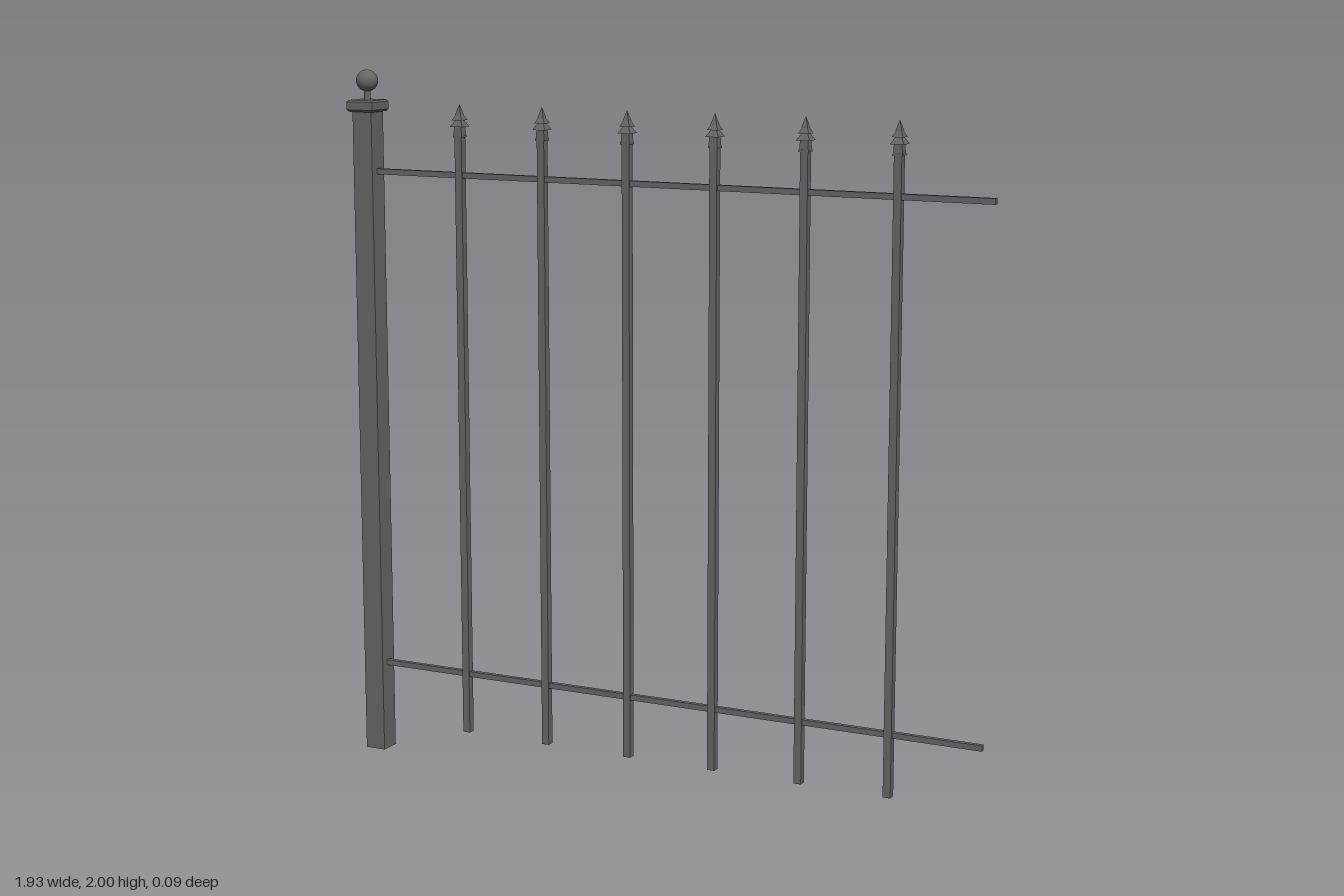
import * as THREE from 'three';

export function createModel() {
  const group = new THREE.Group();
  const smooth = new THREE.MeshStandardMaterial({ color: 0x666666 });
  const flat = new THREE.MeshStandardMaterial({ color: 0x666666, flatShading: true });

  const add = (parent, name, geometry, x, y, material = flat) => {
    const mesh = new THREE.Mesh(geometry, material);
    mesh.name = name;
    mesh.position.set(x, y, 0);
    parent.add(mesh);
  };
  // Square section of given half widths, aligned with the axes
  const taper = (top, bottom, height) =>
    new THREE.CylinderGeometry(top * Math.SQRT2, bottom * Math.SQRT2, height, 4).rotateY(Math.PI / 4);

  // End post with cap and ball
  const post = new THREE.Group();
  post.name = 'endPost';
  post.position.x = -0.921;
  group.add(post);
  add(post, 'postShaft', new THREE.BoxGeometry(0.062, 1.885, 0.062), 0, 0.9425);
  add(post, 'capUnderside', taper(0.043, 0.038, 0.006), 0, 1.885);
  add(post, 'capSlab', new THREE.BoxGeometry(0.086, 0.022, 0.086), 0, 1.899);
  add(post, 'capTop', taper(0.038, 0.043, 0.005), 0, 1.9125);
  add(post, 'ballNeck', new THREE.CylinderGeometry(0.008, 0.01, 0.04, 16), 0, 1.93, smooth);
  add(post, 'ball', new THREE.SphereGeometry(0.031, 24, 16), 0, 1.969, smooth);

  // Horizontal rails
  for (const [name, y] of [['bottomRail', 0.263], ['topRail', 1.713]]) {
    add(group, name, new THREE.BoxGeometry(1.858, 0.016, 0.014), 0.034, y);
  }

  // Pickets with stacked pyramid spear heads
  for (let i = 0; i < 6; i++) {
    const picket = new THREE.Group();
    picket.name = 'picket' + (i + 1);
    picket.position.x = -0.618 + i * 0.263;
    group.add(picket);
    add(picket, 'bar', new THREE.BoxGeometry(0.022, 1.733, 0.022), 0, 0.9535);
    add(picket, 'collar', new THREE.BoxGeometry(0.028, 0.006, 0.028), 0, 1.822);
    add(picket, 'spearNeck', taper(0.011, 0.013, 0.03), 0, 1.838);
    add(picket, 'lowerBarb', taper(0.006, 0.02, 0.022), 0, 1.86);
    add(picket, 'upperBarb', taper(0.004, 0.016, 0.022), 0, 1.878);
    add(picket, 'spearTip', taper(0, 0.009, 0.03), 0, 1.897);
  }
  return group;
}
